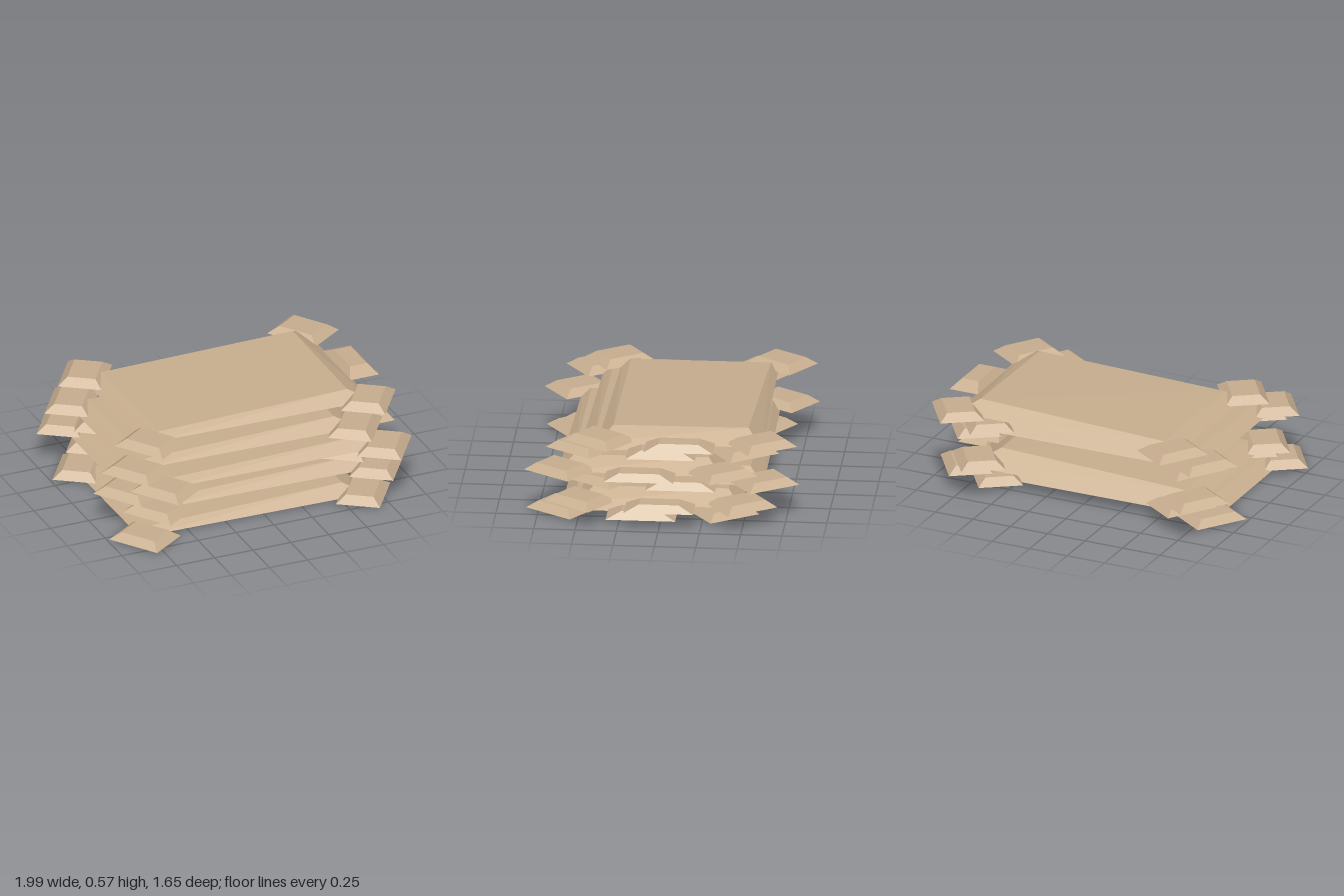
import * as THREE from 'three';

// Flat-sided solid between two four-cornered rings
// (corner order: front -x, front +x, back +x, back -x)
function solid(bottom, top) {
  const pos = [];
  const quad = (a, b, c, d) => [a, b, c, a, c, d].forEach((p) => pos.push(...p));
  quad(...top);
  quad(...[...bottom].reverse());
  for (let i = 0; i < 4; i++) {
    const j = (i + 1) % 4;
    quad(bottom[i], bottom[j], top[j], top[i]);
  }
  const geo = new THREE.BufferGeometry();
  geo.setAttribute('position', new THREE.Float32BufferAttribute(pos, 3));
  geo.computeVertexNormals();
  return geo;
}

const ring = (hx, y, hz) => [[-hx, y, hz], [hx, y, hz], [hx, y, -hz], [-hx, y, -hz]];

export function createModel() {
  const tan = new THREE.MeshStandardMaterial({ color: 0xc9af90 });

  // Slightly wedge-shaped hide, thicker toward +x
  const bodyGeo = solid(
    [[-0.74, 0.01, 0.47], [0.74, 0.01, 0.5], [0.74, 0, -0.49], [-0.74, 0, -0.475]],
    [[-0.63, 0.045, 0.415], [0.61, 0.074, 0.415], [0.61, 0.08, -0.4], [-0.63, 0.047, -0.43]],
  );
  const legGeo = solid(ring(0.17, 0.012, 0.135), ring(0.115, 0.055, 0.085));
  const neckGeo = solid(ring(0.095, 0.012, 0.21), ring(0.055, 0.056, 0.12));

  const model = new THREE.Group();
  model.name = 'hideStack';

  // Six hides, each shifted a little from the one below
  for (let i = 0; i < 6; i++) {
    const hide = new THREE.Group();
    hide.name = `hide${i + 1}`;
    hide.position.set(i % 2 ? 0.07 : -0.07, i * 0.098, [0.12, 0, -0.12][i % 3]);

    const add = (geo, name, x, z, turn) => {
      const mesh = new THREE.Mesh(geo, tan);
      mesh.name = name;
      mesh.position.set(x, 0, z);
      mesh.rotation.y = turn;
      hide.add(mesh);
    };

    add(bodyGeo, 'body', 0, 0, 0);
    add(neckGeo, 'neckFlap', 0.815, 0, 0);
    // Leg flaps turned across the four corners
    for (const sx of [-1, 1]) {
      for (const sz of [-1, 1]) {
        const name = `${sz > 0 ? 'front' : 'back'}${sx > 0 ? 'Left' : 'Right'}LegFlap`;
        add(legGeo, name, sx * 0.717, sz * 0.489, sx * sz * 0.97);
      }
    }
    model.add(hide);
  }
  return model;
}
